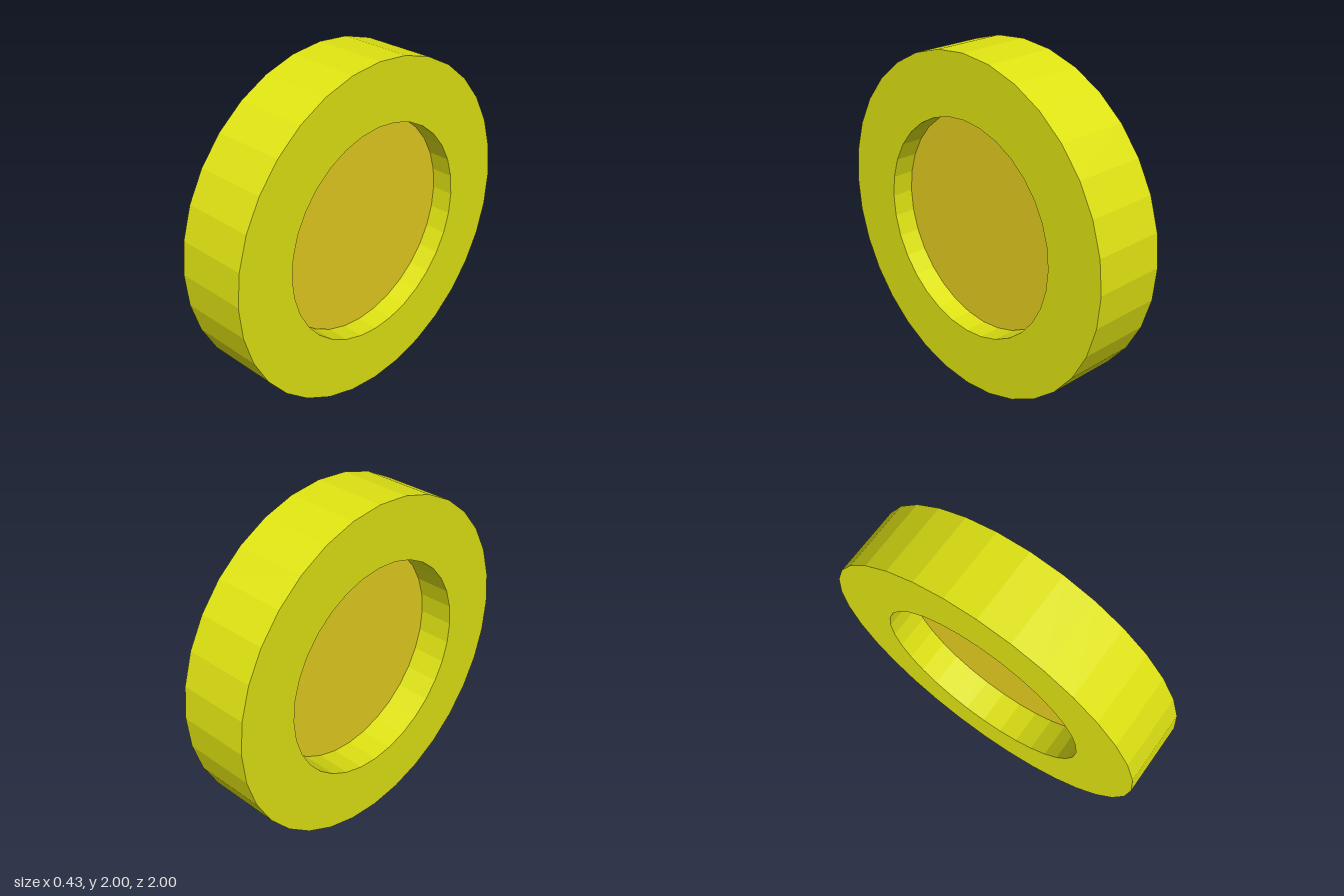
import * as THREE from 'three';

const SIDES = 32;
const OUTER = 1, INNER = 0.64, HALF = 0.215;

// Turn a geometry made around y so that its axis lies along x
function wheelPart(name, geometry, color, x, y) {
  geometry.rotateZ(-Math.PI / 2);
  const material = new THREE.MeshStandardMaterial({ color, flatShading: true });
  const mesh = new THREE.Mesh(geometry, material);
  mesh.name = name;
  mesh.position.set(x, y, 0);
  return mesh;
}

export function createModel() {
  const group = new THREE.Group();
  group.name = 'wheel';

  // Thick faceted ring with a square cross-section, open in the middle
  const profile = [
    [OUTER, -HALF], [OUTER, HALF], [INNER, HALF], [INNER, -HALF], [OUTER, -HALF],
  ].map(([r, h]) => new THREE.Vector2(r, h));
  group.add(wheelPart('ring', new THREE.LatheGeometry(profile, SIDES), 0xe0e412, 0, 1));

  // Plate closing the hole, recessed less on the +x side than on the -x side
  const plateFar = -0.005, plateNear = 0.083;
  const plate = new THREE.CylinderGeometry(INNER, INNER, plateNear - plateFar, SIDES);
  group.add(wheelPart('centrePlate', plate, 0xe4cd1f, (plateNear + plateFar) / 2, 1.003));

  return group;
}
